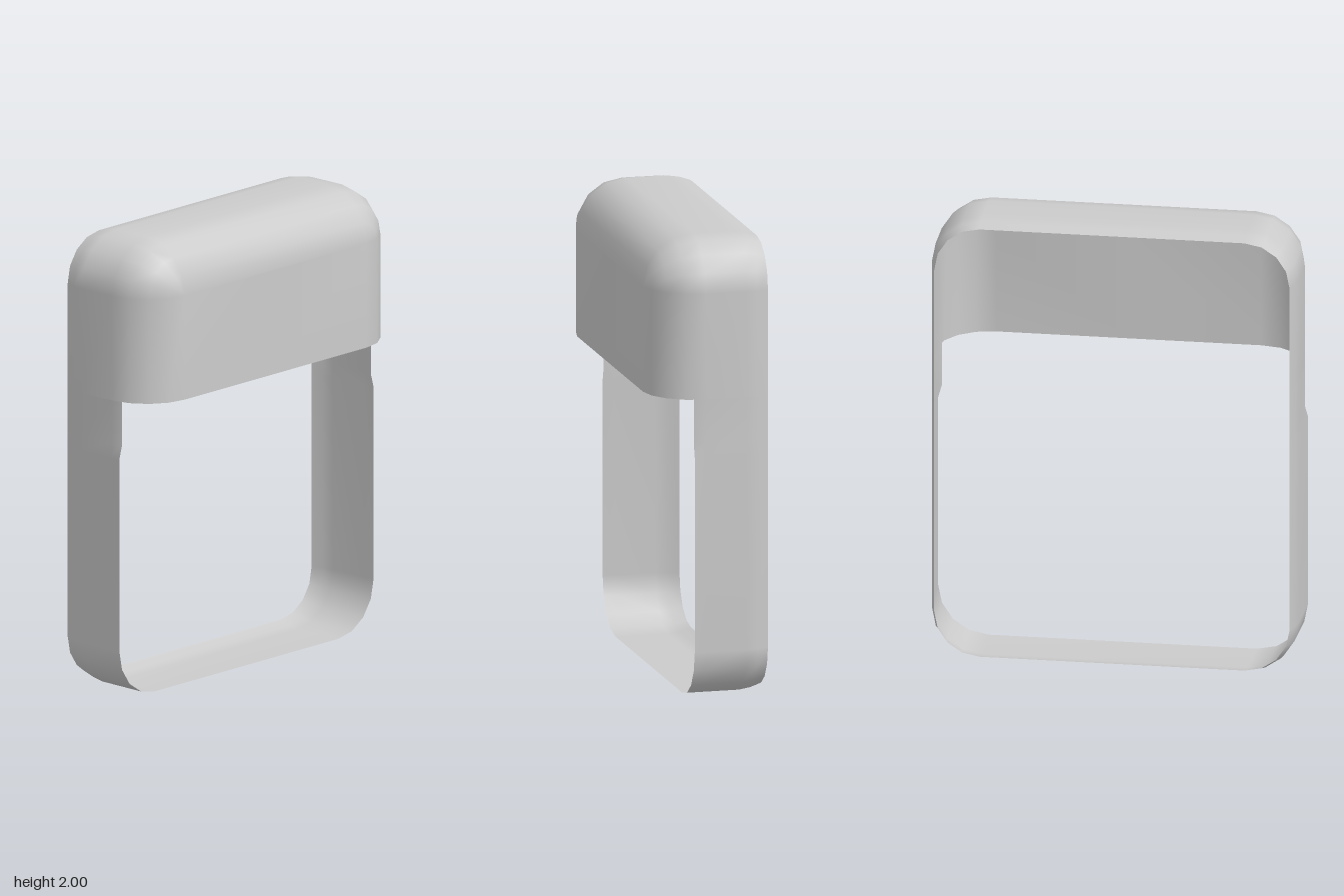
import * as THREE from 'three';
import { mergeVertices } from 'three/addons/utils/BufferGeometryUtils.js';

const HALF = 0.79, TOP = 2, SEAM = 1.32, R = 0.22, STEPS = 4;

// Skin a list of equally long cross-sections into one smooth open sheet.
function skin(rows) {
  const n = rows[0].length, index = [];
  for (let i = 0; i < rows.length - 1; i++) {
    for (let j = 0; j < n - 1; j++) {
      const a = i * n + j, b = a + 1, c = a + n, d = c + 1;
      index.push(a, b, c, b, d, c);
    }
  }
  const geo = new THREE.BufferGeometry();
  geo.setAttribute('position', new THREE.Float32BufferAttribute(rows.flat(2), 3));
  geo.setIndex(index);
  const merged = mergeVertices(geo, 1e-5);
  merged.computeVertexNormals();
  return merged;
}

// Points of a rounded corner, counter-clockwise from the given angle.
function corner(cx, cy, r, start, z) {
  return Array.from({ length: STEPS + 1 }, (_, k) => {
    const a = start + (k / STEPS) * Math.PI / 2;
    return [cx + r * Math.cos(a), cy + r * Math.sin(a), z];
  });
}

// Arch of the hood: up the left side, over the top, down the right side.
function arch(z, inset) {
  const w = HALF - inset, cx = HALF - R, cy = TOP - R, r = R - inset;
  return [
    [w, SEAM, z],
    ...corner(cx, cy, r, 0, z),
    ...corner(-cx, cy, r, Math.PI / 2, z),
    [-w, SEAM, z],
  ];
}

// U of the lower band; the flare widens it below the notch.
function cradle(z, inset, neck, flare) {
  const w = HALF + flare - inset, cx = HALF + flare - R, r = R - inset;
  const n = HALF - neck;
  return [
    [-n, SEAM, z], [-n, 1.13, z], [-w, 1.07, z],
    ...corner(-cx, R, r, Math.PI, z),
    ...corner(cx, R, r, Math.PI * 1.5, z),
    [w, 1.07, z], [n, 1.13, z], [n, SEAM, z],
  ];
}

export function createModel() {
  const group = new THREE.Group();
  group.name = 'openCase';
  const material = new THREE.MeshStandardMaterial({ color: 0xcccccc, side: THREE.DoubleSide });
  const add = (name, geo) => {
    const mesh = new THREE.Mesh(geo, material);
    mesh.name = name;
    group.add(mesh);
  };

  // Hood: lipped back rim, straight wall, rounded front edge, flat front
  const rim = [[-0.25, 0.025], [-0.2, 0.008], [-0.15, 0]];
  const hood = rim.map(([z, inset]) => arch(z, inset));
  for (let k = 0; k <= STEPS; k++) {
    const a = (k / STEPS) * Math.PI / 2;
    hood.push(arch(0.03 + R * Math.sin(a), R * (1 - Math.cos(a))));
  }
  // Fold the last outline onto the centre line to close the front panel
  hood.push(hood[hood.length - 1].map(([, y, z]) => [0, y, z]));
  add('hood', skin(hood));

  // Lower band, open at front and back
  add('lowerBand', skin([
    ...rim.map(([z, inset]) => cradle(z, inset, inset, 0)),
    cradle(0.03, 0, 0, 0.005),
    cradle(0.08, 0, 0.01, 0.007),
  ]));

  return group;
}
